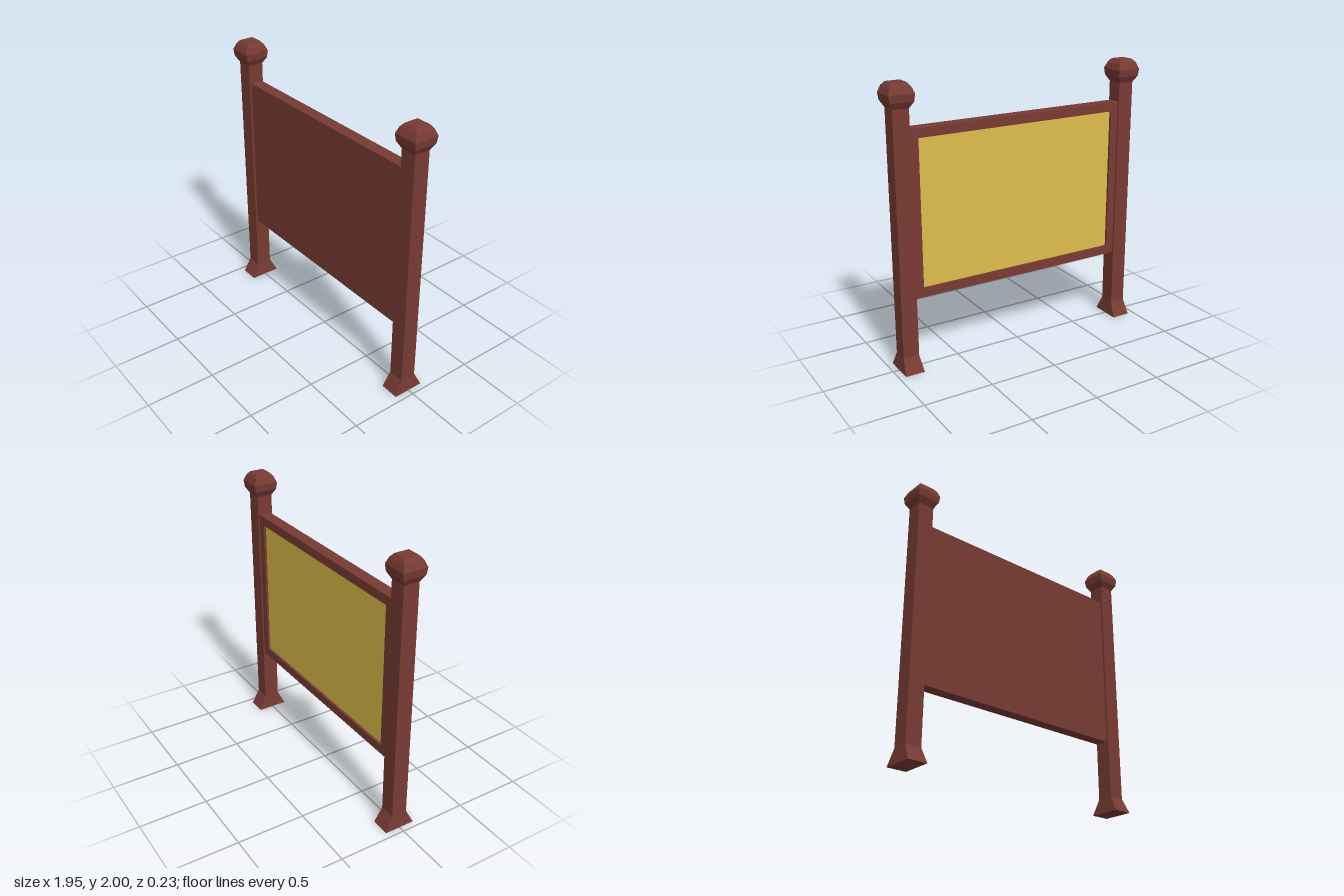
import * as THREE from 'three';

const wood = new THREE.MeshStandardMaterial({ name: 'redBrownWood', color: 0x783b33 });
const board = new THREE.MeshStandardMaterial({ name: 'yellowBoard', color: 0xdfbd4a });

// Stacks rectangular rings [y, halfX, halfZ] into a flat-sided closed solid
function loft(rings) {
  const pos = [];
  const corners = rings.map(([y, a, b]) => [[-a, y, b], [a, y, b], [a, y, -b], [-a, y, -b]]);
  const quad = (a, b, c, d) => pos.push(...a, ...b, ...c, ...a, ...c, ...d);
  for (let i = 0; i < corners.length - 1; i++) {
    const lo = corners[i], hi = corners[i + 1];
    for (let k = 0; k < 4; k++) {
      const n = (k + 1) % 4;
      quad(lo[k], lo[n], hi[n], hi[k]);
    }
  }
  const bottom = corners[0], top = corners[corners.length - 1];
  quad(bottom[3], bottom[2], bottom[1], bottom[0]);
  quad(top[0], top[1], top[2], top[3]);
  const geo = new THREE.BufferGeometry();
  geo.setAttribute('position', new THREE.Float32BufferAttribute(pos, 3));
  geo.computeVertexNormals();
  return geo;
}

function add(parent, name, geo, mat, x = 0, y = 0, z = 0) {
  const mesh = new THREE.Mesh(geo, mat);
  mesh.name = name;
  mesh.position.set(x, y, z);
  parent.add(mesh);
}

export function createModel() {
  const model = new THREE.Group();
  model.name = 'noticeBoard';

  // Posts with flared feet and faceted knobs
  const foot = loft([[0, 0.07, 0.113], [0.11, 0.058, 0.058]]);
  const shaft = loft([[0.11, 0.058, 0.058], [1.835, 0.058, 0.058]]);
  const knob = loft([
    [1.835, 0.058, 0.058], [1.88, 0.084, 0.084], [1.93, 0.09, 0.09],
    [1.975, 0.072, 0.072], [2, 0.052, 0.052],
  ]);
  for (const side of [1, -1]) {
    const post = new THREE.Group();
    post.name = side > 0 ? 'leftPost' : 'rightPost';
    post.position.x = side * 0.884;
    add(post, 'foot', foot, wood);
    add(post, 'shaft', shaft, wood);
    add(post, 'knob', knob, wood);
    model.add(post);
  }

  // Solid panel, plain on the front
  const w = 1.66, h = 1.172, midY = 1.112, rim = 0.065;
  add(model, 'panel', new THREE.BoxGeometry(w, h, 0.069), wood, 0, midY, 0.0075);

  // Raised frame around the back
  const rect = (Type, a, b) => new Type([[-a, -b], [a, -b], [a, b], [-a, b]].map((p) => new THREE.Vector2(...p)));
  const outline = rect(THREE.Shape, w / 2, h / 2);
  outline.holes.push(rect(THREE.Path, w / 2 - rim, h / 2 - rim));
  const frame = new THREE.ExtrudeGeometry(outline, { depth: 0.02, bevelEnabled: false });
  add(model, 'backFrame', frame, wood, 0, midY, -0.047);

  // Recessed yellow board
  add(model, 'boardFace', new THREE.BoxGeometry(w - 2 * rim, h - 2 * rim, 0.004), board, 0, midY, -0.028);

  return model;
}
